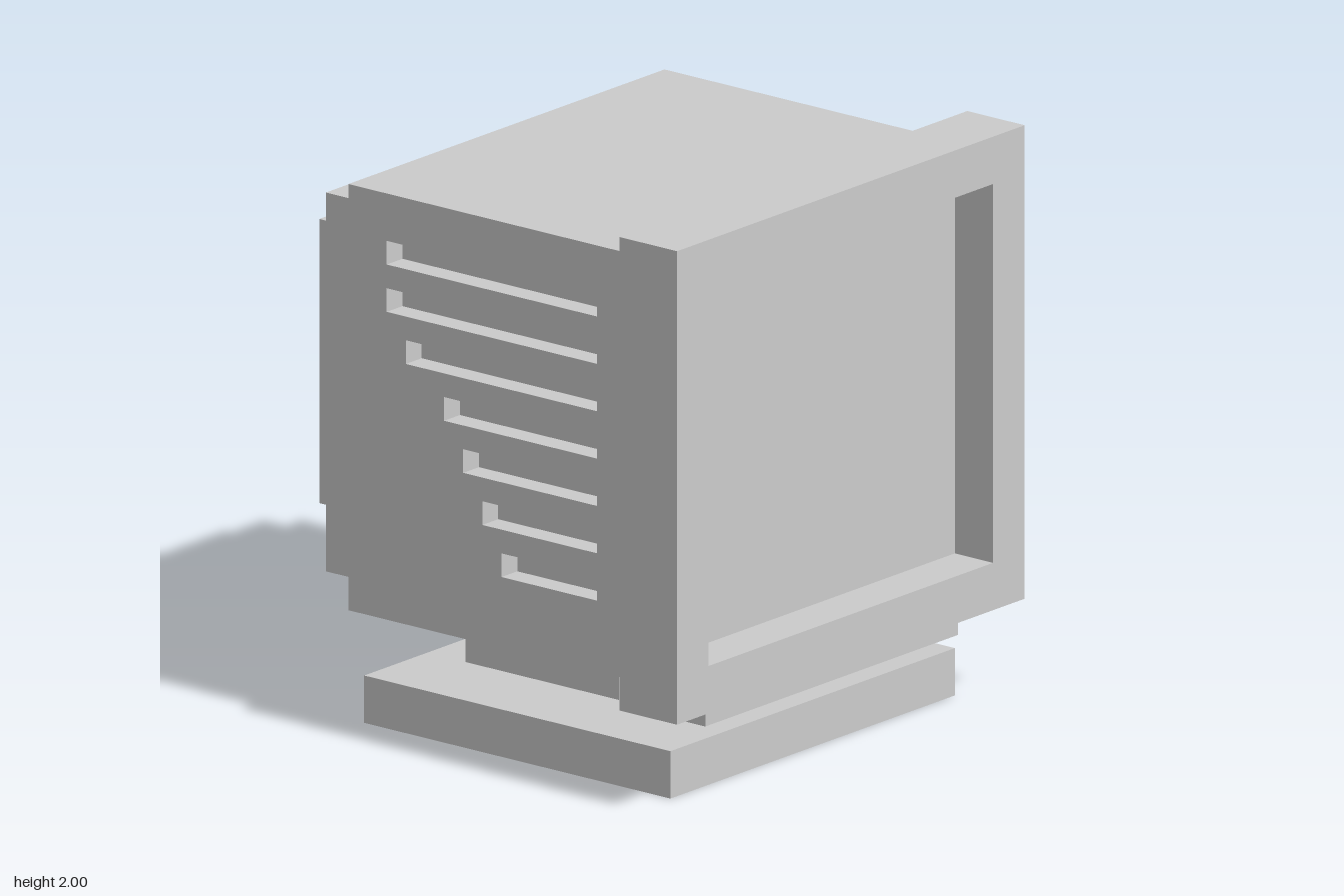
import * as THREE from 'three';

const U = 1 / 12; // every part sits on a grid of this step
const material = new THREE.MeshStandardMaterial({ color: 0xcccccc, flatShading: true });

function add(group, name, geometry) {
  const mesh = new THREE.Mesh(geometry, material);
  mesh.name = name;
  group.add(mesh);
  return mesh;
}

// Box centred on x, given by half width and its y and z ranges in grid steps
function block(group, name, halfX, [y0, y1], [z0, z1]) {
  const geometry = new THREE.BoxGeometry(2 * halfX * U, (y1 - y0) * U, (z1 - z0) * U);
  geometry.translate(0, (y0 + y1) / 2 * U, (z0 + z1) / 2 * U);
  return add(group, name, geometry);
}

// Rectangle outline in grid steps
function rect(Type, x0, y0, x1, y1) {
  return new Type([[x0, y0], [x1, y0], [x1, y1], [x0, y1]]
    .map(([x, y]) => new THREE.Vector2(x * U, y * U)));
}

// Plate with rectangular holes, extruded along z
function plate(outline, holes, depth) {
  const shape = rect(THREE.Shape, ...outline);
  shape.holes = holes.map(h => rect(THREE.Path, ...h));
  return new THREE.ExtrudeGeometry(shape, { depth: depth * U, bevelEnabled: false });
}

export function createModel() {
  const model = new THREE.Group();
  model.name = 'monitor';

  // Stand
  block(model, 'base', 9, [0, 2], [-7, 9]);
  block(model, 'neck', 5, [2, 5], [-5, 3]);

  // Front frame with recessed screen and lower lip
  add(model, 'bezel', plate([-11, 4, 11, 24], [[-9, 6, 9, 22]], 3)).position.z = 8 * U;
  block(model, 'screen', 9, [6, 22], [8, 9]);
  block(model, 'lowerLip', 8, [3, 4], [9, 10]);

  // Case: solid core with a slotted panel on each side
  block(model, 'caseCore', 9, [5, 23], [-7, 8]);
  const slotEnds = [1, 0, -1, -2, -4, -5, -5]; // rear end of each vent, bottom to top
  const slots = slotEnds.map((end, i) => [end, 8 + 2 * i, 6, 9 + 2 * i]);
  for (const [name, x] of [['leftVentPanel', 10], ['rightVentPanel', -9]]) {
    const geometry = plate([-7, 5, 8, 23], slots, 1);
    geometry.rotateY(-Math.PI / 2); // outline runs along z, thickness toward -x
    add(model, name, geometry).position.x = x * U;
  }

  // Stepped rear housing
  block(model, 'rearStep', 9, [6, 22], [-9, -7]);
  block(model, 'rearCap', 7, [8, 20], [-11, -9]);

  return model;
}
